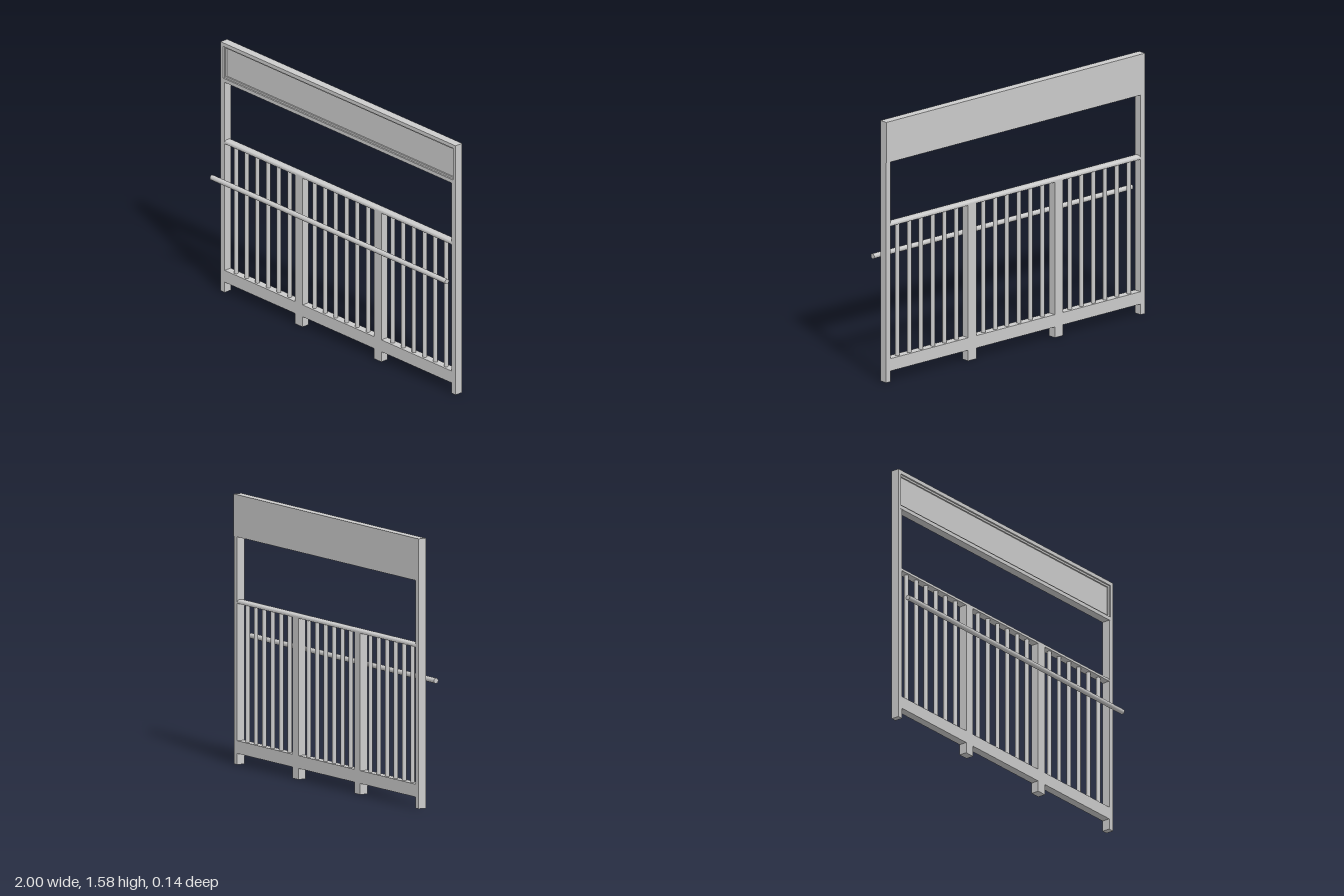
import * as THREE from 'three';

const FRONT = -0.017, BACK = -0.066, MID = (FRONT + BACK) / 2;

export function createModel() {
  const root = new THREE.Group();
  root.name = 'balustradeWithPanel';
  const mat = new THREE.MeshStandardMaterial({ color: 0xcccccc });

  const add = (name, geo) => {
    const mesh = new THREE.Mesh(geo, mat);
    mesh.name = name;
    root.add(mesh);
    return mesh;
  };
  // Box given by its extents
  const box = (name, x0, x1, y0, y1, z0 = BACK, z1 = FRONT) =>
    add(name, new THREE.BoxGeometry(x1 - x0, y1 - y0, z1 - z0))
      .position.set((x0 + x1) / 2, (y0 + y1) / 2, (z0 + z1) / 2);

  // Posts, mirrored
  for (const s of [-1, 1]) {
    const side = s < 0 ? 'right' : 'left';
    box(side + 'EndPost', s * 0.9825 - 0.0175, s * 0.9825 + 0.0175, 0, 1.333);
    box(side + 'MiddlePost', s * 0.335 - 0.032, s * 0.335 + 0.032, 0, 0.945);
  }

  // Bottom rail between the posts
  for (const [a, b] of [[-0.965, -0.367], [-0.303, 0.303], [0.367, 0.965]])
    box('bottomRail', a, b, 0.065, 0.14);

  // Top rail with a gently rounded top
  const profile = new THREE.Shape();
  profile.moveTo(-0.0245, 0);
  profile.lineTo(0.0245, 0);
  profile.lineTo(0.0245, 0.008);
  profile.quadraticCurveTo(0.0235, 0.021, 0.008, 0.021);
  profile.lineTo(-0.008, 0.021);
  profile.quadraticCurveTo(-0.0235, 0.021, -0.0245, 0.008);
  const topRail = add('topRail', new THREE.ExtrudeGeometry(profile,
    { depth: 1.998, bevelEnabled: false, curveSegments: 6 }));
  topRail.rotation.y = Math.PI / 2;
  topRail.position.set(-0.999, 0.943, MID);

  // Six round bars in each of the three bays
  const barGeo = new THREE.CylinderGeometry(0.013, 0.013, 0.81, 16);
  for (const bay of [-0.667, 0, 0.664])
    for (let i = 0; i < 6; i++)
      add('bar', barGeo).position.set(bay + (i - 2.5) * 0.091, 0.541, MID);

  // Round handrail standing off the front
  const rail = add('handrail', new THREE.CylinderGeometry(0.0155, 0.0155, 2, 24));
  rail.rotation.z = Math.PI / 2;
  rail.position.set(0, 0.74, 0.0525);

  // Header panel: back board with a stepped rim around a recessed face
  const y0 = 1.333, y1 = 1.58;
  const rim = (name, inset, z, depth) => {
    const rect = (Type, m) => new Type([
      new THREE.Vector2(-1 + m, y0 + m), new THREE.Vector2(1 - m, y0 + m),
      new THREE.Vector2(1 - m, y1 - m), new THREE.Vector2(-1 + m, y1 - m)]);
    const shape = rect(THREE.Shape, 0);
    shape.holes.push(rect(THREE.Path, inset));
    add(name, new THREE.ExtrudeGeometry(shape, { depth, bevelEnabled: false }))
      .position.z = z;
  };
  box('headerBoard', -1, 1, y0, y1, -0.068, -0.035);
  rim('headerInnerRim', 0.034, -0.035, 0.009);
  rim('headerOuterRim', 0.023, -0.026, 0.01);

  return root;
}
